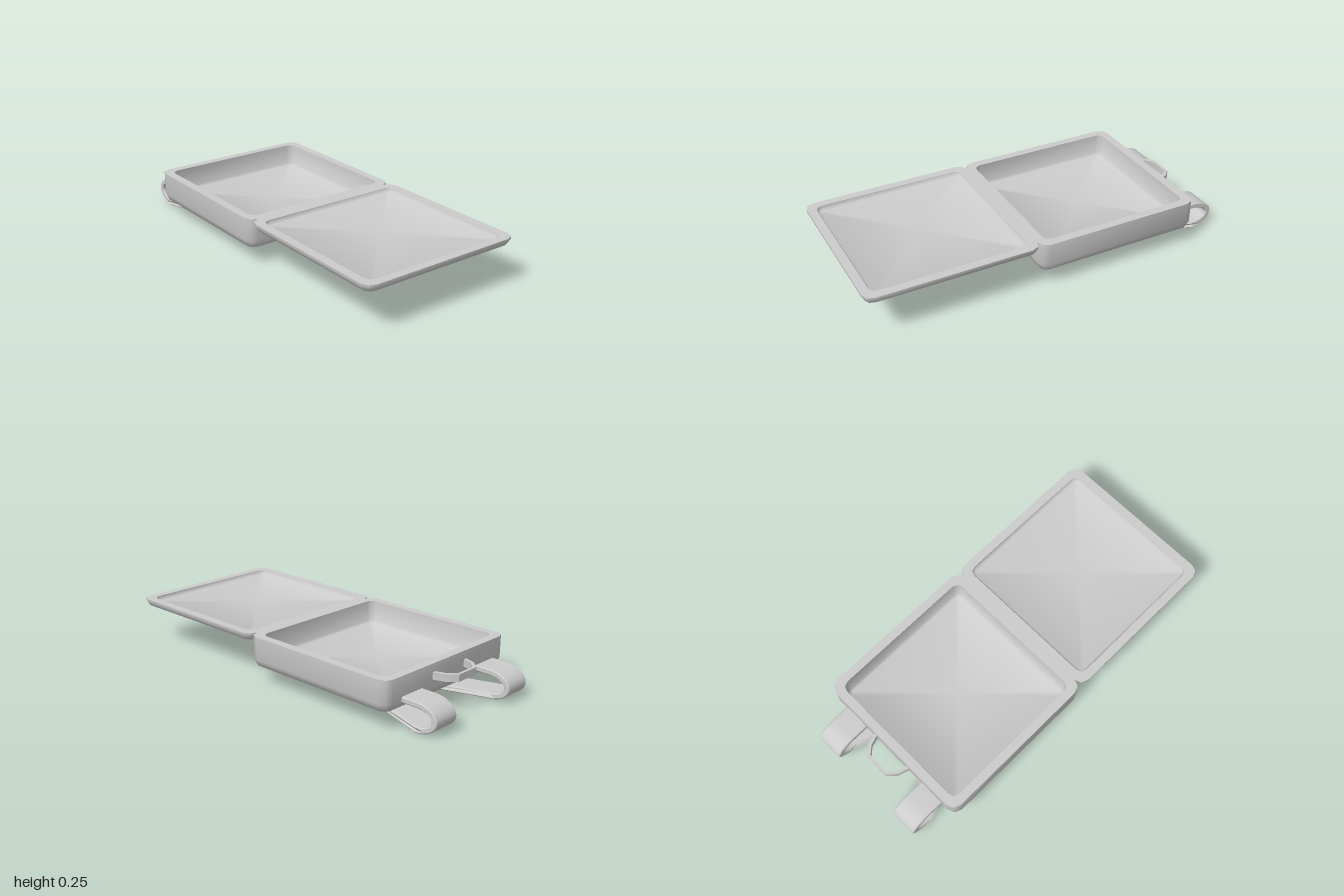
import * as THREE from 'three';
import { toCreasedNormals } from 'three/addons/utils/BufferGeometryUtils.js';

const material = new THREE.MeshStandardMaterial({ color: 0xcccccc });

function addMesh(group, name, geometry, crease) {
  const mesh = new THREE.Mesh(toCreasedNormals(geometry, crease), material);
  mesh.name = name;
  group.add(mesh);
}

// Square outline with rounded corners (two facets each), inset from a 0.9 square
function ringPoints(inset, radius) {
  const h = 0.45 - inset, c = h - radius, points = [];
  for (let k = 0; k < 4; k++) {
    const mid = (k + 0.5) * Math.PI / 2;
    const cx = Math.sign(Math.cos(mid)) * c, cz = Math.sign(Math.sin(mid)) * c;
    for (let s = 0; s <= 2; s++) {
      const a = (k + s / 2) * Math.PI / 2;
      points.push([cx + Math.cos(a) * radius, cz + Math.sin(a) * radius]);
    }
  }
  return points;
}

// Open tray lofted through rings of [inset, y, corner radius], capped at both ends
function trayGeometry(rings, z) {
  const positions = [], index = [], n = 12;
  for (const [inset, y, radius] of rings)
    for (const [px, pz] of ringPoints(inset, radius)) positions.push(px, y, pz + z);
  const last = (rings.length - 1) * n, bottom = rings.length * n, floor = bottom + 1;
  positions.push(0, rings[0][1], z, 0, rings[rings.length - 1][1], z);
  for (let j = 0; j < n; j++) {
    const k = (j + 1) % n;
    for (let i = 0; i < last; i += n)
      index.push(i + j, i + n + j, i + k, i + k, i + n + j, i + n + k);
    index.push(bottom, j, k, floor, last + k, last + j);
  }
  const geometry = new THREE.BufferGeometry();
  geometry.setAttribute('position', new THREE.Float32BufferAttribute(positions, 3));
  geometry.setIndex(index);
  return geometry;
}

// Strap: hook-shaped side profile, its lower run slanting towards the middle
function strapGeometry(xMin, slant) {
  const bend = 0.88, tip = 0.305, mid = 0.075;
  const shape = new THREE.Shape();
  shape.moveTo(0.785, 0.15);
  shape.lineTo(bend, 0.15);
  shape.absellipse(bend, mid, 0.12, 0.075, Math.PI / 2, -Math.PI / 2, true);
  shape.lineTo(tip, 0);
  shape.lineTo(tip, 0.03);
  shape.lineTo(bend, 0.03);
  shape.absellipse(bend, mid, 0.09, 0.045, -Math.PI / 2, Math.PI / 2, false);
  shape.lineTo(0.785, 0.12);
  const bevel = 0.005;
  const geometry = new THREE.ExtrudeGeometry(shape, {
    depth: 0.147 - 2 * bevel, curveSegments: 12, bevelEnabled: true,
    bevelThickness: bevel, bevelSize: bevel, bevelOffset: -bevel, bevelSegments: 1,
  });
  geometry.rotateY(Math.PI / 2).translate(xMin + bevel, 0, 0);
  const p = geometry.attributes.position;
  for (let i = 0; i < p.count; i++)
    if (p.getY(i) < 0.06)
      p.setX(i, p.getX(i) + slant * Math.max(0, p.getZ(i) + bend));
  return geometry;
}

// Carry handle: faceted arch behind the case
function handleGeometry() {
  const outer = [[0.13, 0.79], [0.108, 0.86], [0.065, 0.905]];
  const inner = [[0.045 + 0.012, 0.89], [0.092, 0.852], [0.112, 0.79]];
  const mirror = (list) => list.map(([x, z]) => [-x, z]).reverse();
  const outline = [...outer, ...mirror(outer), ...mirror(inner), ...inner];
  const shape = new THREE.Shape(outline.map(([x, z]) => new THREE.Vector2(x, z)));
  return new THREE.ExtrudeGeometry(shape, { depth: 0.037, bevelEnabled: false })
    .rotateX(-Math.PI / 2).translate(-0.005, 0.17, 0);
}

export function createModel() {
  const group = new THREE.Group();
  group.name = 'openCase';

  // Deep body and shallow opened lid
  addMesh(group, 'caseBody', trayGeometry([
    [0.05, 0.08, 0.002], [0.015, 0.095, 0.035], [0, 0.13, 0.05], [0, 0.25, 0.05],
    [0.045, 0.25, 0.035], [0.05, 0.14, 0.03], [0.06, 0.13, 0.02],
  ], -0.35), 0.9);
  addMesh(group, 'caseLid', trayGeometry([
    [0.05, 0.2, 0.002], [0.015, 0.213, 0.035], [0, 0.238, 0.05], [0, 0.25, 0.05],
    [0.045, 0.25, 0.035], [0.049, 0.235, 0.03], [0.06, 0.228, 0.02],
  ], 0.55), 0.9);

  // Shoulder straps and handle
  addMesh(group, 'rightStrap', strapGeometry(-0.357, 0.33), 0.5);
  addMesh(group, 'leftStrap', strapGeometry(0.193, -0.33), 0.5);
  addMesh(group, 'carryHandle', handleGeometry(), 0.5);
  return group;
}
